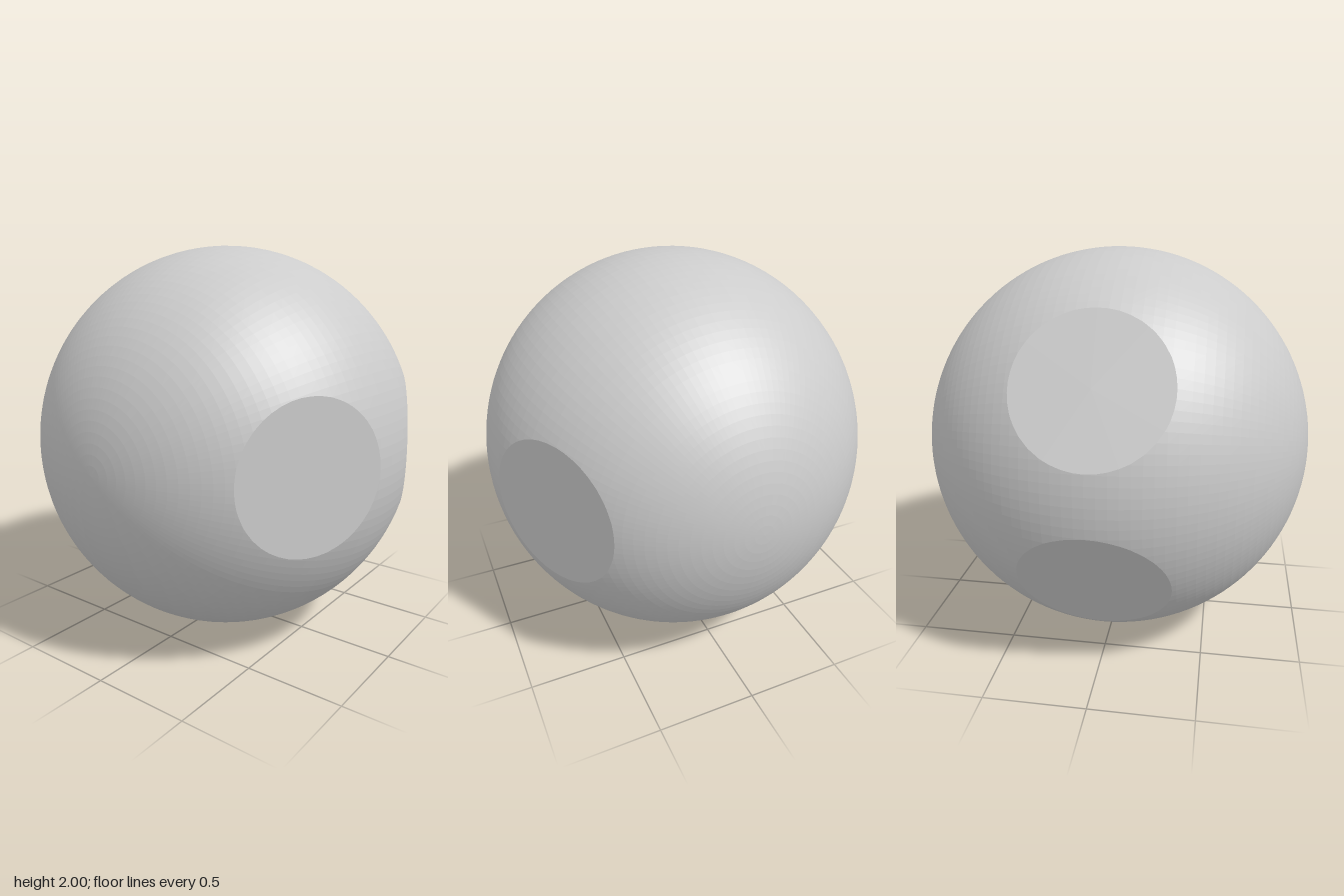
import * as THREE from 'three';

const SQUEEZE = 0.983; // the ball is slightly narrower in x
const CUT = 0.931; // distance of each flat from the centre
const C = Math.cos(Math.PI / 6), S = 0.5;

const material = () => new THREE.MeshStandardMaterial({ color: 0xcccccc, flatShading: true });

// Trim a triangle by a plane; returns the kept polygon and the two cut points
function trim(tri, n) {
  const kept = [], cut = [];
  tri.forEach((a, i) => {
    const b = tri[(i + 1) % 3];
    const da = a.dot(n) - CUT, db = b.dot(n) - CUT;
    if (da <= 0) kept.push(a);
    if (da * db < 0) {
      const p = a.clone().lerp(b, da / (da - db));
      kept.push(p);
      cut.push(p);
    }
  });
  return { kept, cut };
}

function meshFrom(points, name) {
  const geometry = new THREE.BufferGeometry().setFromPoints(points);
  geometry.scale(SQUEEZE, 1, 1);
  geometry.computeVertexNormals();
  const mesh = new THREE.Mesh(geometry, material());
  mesh.name = name;
  mesh.position.y = 1;
  return mesh;
}

export function createModel() {
  const group = new THREE.Group();
  group.name = 'facetedBall';

  // Four flats: an upper and lower one on -x, a front and back one on +x
  const flats = [
    { name: 'upperRightFlat', n: new THREE.Vector3(-C, S, 0) },
    { name: 'lowerRightFlat', n: new THREE.Vector3(-C, -S, 0) },
    { name: 'frontLeftFlat', n: new THREE.Vector3(C, 0, S) },
    { name: 'backLeftFlat', n: new THREE.Vector3(C, 0, -S) },
  ].map((f) => ({ ...f, points: [] }));

  // Ball with its poles on the z axis
  const sphere = new THREE.SphereGeometry(1, 128, 64).rotateX(Math.PI / 2).toNonIndexed();
  const pos = sphere.attributes.position;
  const shell = [];
  for (let i = 0; i < pos.count; i += 3) {
    const tri = [0, 1, 2].map((k) => new THREE.Vector3().fromBufferAttribute(pos, i + k));
    let poly = tri;
    for (const { n, points } of flats) {
      if (!tri.some((p) => p.dot(n) > CUT)) continue;
      const { kept, cut } = trim(tri, n);
      poly = kept;
      // Fan the cut edge in to the middle of the flat, facing outwards
      if (cut.length === 2) {
        const centre = n.clone().multiplyScalar(CUT);
        const [a, b] = cut;
        const turn = a.clone().sub(centre).cross(b.clone().sub(centre)).dot(n);
        points.push(centre, ...(turn > 0 ? [a, b] : [b, a]));
      }
      break;
    }
    for (let k = 1; k + 1 < poly.length; k++) shell.push(poly[0], poly[k], poly[k + 1]);
  }

  group.add(meshFrom(shell, 'ball'));
  for (const { name, points } of flats) group.add(meshFrom(points, name));
  return group;
}
